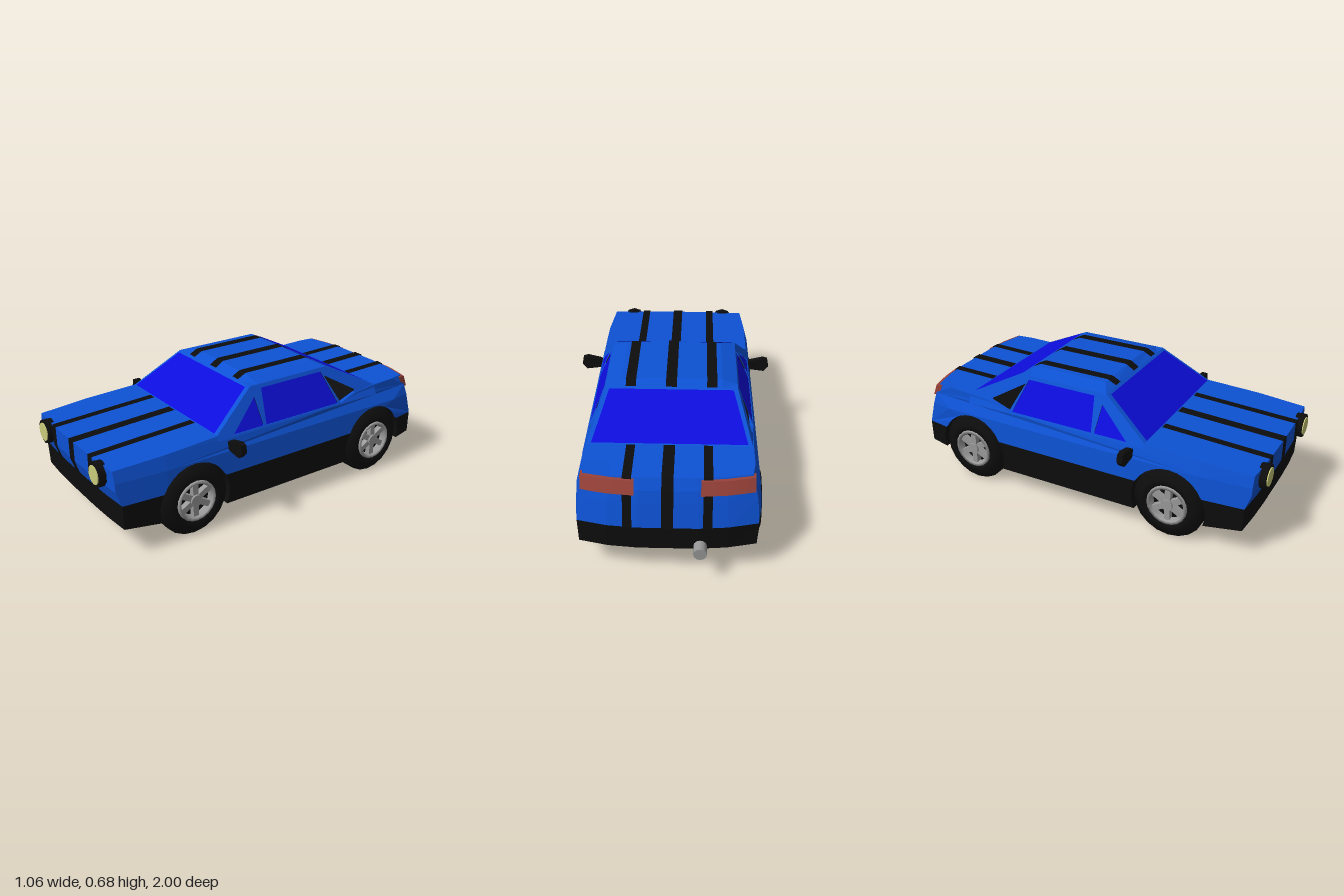
import * as THREE from 'three';

const mat = (name, color, side = THREE.FrontSide) => {
  const m = new THREE.MeshStandardMaterial({ color, side });
  m.name = name;
  return m;
};

// Piecewise-linear lookup in a short table of [key, value]
function interp(table, v) {
  for (let i = 1; i < table.length; i++) {
    const [a, fa] = table[i - 1], [b, fb] = table[i];
    if (v <= b || i === table.length - 1) {
      const t = Math.min(1, Math.max(0, (v - a) / (b - a)));
      return fa + (fb - fa) * t;
    }
  }
}

// Body half-width by height, plan taper by z, and bowed ends
const halfWidth = (y) => interp([[0.11, 0.43], [0.275, 0.437], [0.39, 0.427], [0.455, 0.41], [0.505, 0.395]], y);
const taper = (z) => interp([[-0.94, 0.95], [-0.75, 1], [0.7, 1], [0.97, 0.95]], z);
function bow(x, z) {
  const a = Math.abs(x);
  const d = 0.1 * Math.max(0, a - 0.145) + 0.15 * Math.max(0, a - 0.285);
  return z < -0.8 ? d : z > 0.9 ? -0.3 * d : 0;
}

// Wheel arch points around wheel centre zc, between two angles
const R = 0.195, WY = 0.187, A0 = 0.468;
function arch(zc, a, b) {
  return Array.from({ length: 11 }, (_, i) => {
    const t = a + (b - a) * i / 10;
    return [zc + R * Math.cos(t), WY + R * Math.sin(t)];
  });
}

const toShape = (pts) => new THREE.Shape(pts.map(([z, y]) => new THREE.Vector2(-z, y)));

// Side profile [z, y] extruded across the car and warped to the body plan
function bodySlice(pts) {
  const g = new THREE.ExtrudeGeometry(toShape(pts), { depth: 2, steps: 6, bevelEnabled: false });
  const p = g.attributes.position;
  for (let i = 0; i < p.count; i++) {
    const z = -p.getX(i), y = p.getY(i), s = p.getZ(i) - 1;
    const x = s * halfWidth(y) * taper(z);
    p.setXYZ(i, x, y, z + bow(x, z));
  }
  g.computeVertexNormals();
  return g;
}

// Grid of points joined row by row, with flat faces
function loft(rows) {
  const v = [];
  for (let i = 0; i + 1 < rows.length; i++) {
    for (let j = 0; j + 1 < rows[i].length; j++) {
      const a = rows[i][j], b = rows[i][j + 1], c = rows[i + 1][j + 1], d = rows[i + 1][j];
      v.push(...a, ...b, ...c, ...a, ...c, ...d);
    }
  }
  const g = new THREE.BufferGeometry();
  g.setAttribute('position', new THREE.Float32BufferAttribute(v, 3));
  g.computeVertexNormals();
  return g;
}
// Symmetric strip across the car from rows of [halfWidth, y, z]
const across = (rows) => loft(rows.map(([w, y, z]) => [[-w, y, z], [w, y, z]]));

// Flat shape on the inward-leaning cabin side
function cabinSide(pts, holes, s, inset = 0) {
  const shape = toShape(pts);
  for (const h of holes) shape.holes.push(toShape(h));
  const g = new THREE.ShapeGeometry(shape);
  const p = g.attributes.position;
  for (let i = 0; i < p.count; i++) {
    const y = p.getY(i);
    p.setXYZ(i, s * (0.412 - 0.45 * (y - 0.455) - inset), y, -p.getX(i));
  }
  g.computeVertexNormals();
  return g;
}

export function createModel() {
  const car = new THREE.Group();
  car.name = 'car';
  const blue = mat('body blue', 0x0d52d4, THREE.DoubleSide);
  const glass = mat('window blue', 0x0d0ddc, THREE.DoubleSide);
  const black = mat('black', 0x0d0d0d, THREE.DoubleSide);
  const grey = mat('metal grey', 0x999999);
  const yellow = mat('headlight yellow', 0xcccc7c);
  const red = mat('tail light red', 0x984239);
  const add = (name, geo, m, parent = car) => {
    const mesh = new THREE.Mesh(geo, m);
    mesh.name = name;
    parent.add(mesh);
    return mesh;
  };
  const FZ = 0.55, BZ = -0.6, PI = Math.PI;

  // Blue body: lower band with arch cut-outs, then shoulders, bonnet and boot
  add('lowerBody', bodySlice([[0.945, 0.275], [0.97, 0.35], [0.97, 0.39], [0.7, 0.39], [-0.75, 0.39], [-0.912, 0.39],
    [-0.94, 0.275], ...arch(BZ, PI - A0, A0), ...arch(FZ, PI - A0, A0)]), blue);
  add('upperBody', bodySlice([[0.97, 0.39], [0.97, 0.449], [0.7, 0.462], [0.41, 0.475], [0.36, 0.455], [-0.37, 0.455],
    [-0.48, 0.486], [-0.61, 0.5], [-0.75, 0.503], [-0.87, 0.505], [-0.895, 0.45], [-0.912, 0.39], [-0.75, 0.39], [0.7, 0.39]]), blue);

  // Black bumpers, sills and underbody
  add('frontBumper', bodySlice([[0.945, 0.275], [0.94, 0.15], [0.735, 0.125], ...arch(FZ, -0.324, A0)]), black);
  add('sills', bodySlice([...arch(FZ, PI - A0, PI + 0.406), ...arch(BZ, -0.406, A0)]), black);
  add('rearBumper', bodySlice([[-0.94, 0.275], [-0.94, 0.157], ...arch(BZ, PI + 0.2, PI - A0)]), black);
  add('underbody', new THREE.BoxGeometry(0.5, 0.265, 1.58).translate(0, 0.2475, -0.025), black);

  // Cabin floor and rear shelf
  add('cabinFloor', across([[0.39, 0.458, 0.36], [0.39, 0.458, -0.37], [0.38, 0.489, -0.48], [0.37, 0.503, -0.6]]), black);

  // Cabin sides: front quarter pane, door pane and open rear quarter
  const quarter = [[0.315, 0.46], [0.15, 0.597], [0.135, 0.46]];
  const door = [[0.118, 0.46], [0.098, 0.628], [-0.285, 0.628], [-0.35, 0.46]];
  const rearOpening = [[-0.3, 0.607], [-0.48, 0.503], [-0.475, 0.489], [-0.37, 0.457]];
  for (const s of [1, -1]) {
    const side = s > 0 ? 'left' : 'right';
    add(side + 'CabinSide', cabinSide([[0.41, 0.45], [0.41, 0.474], [0.16, 0.647], [-0.325, 0.647], [-0.62, 0.5], [-0.62, 0.45]],
      [quarter, door, rearOpening], s), blue);
    add(side + 'QuarterWindow', cabinSide(quarter, [], s, 0.004), glass);
    add(side + 'DoorWindow', cabinSide(door, [], s, 0.004), glass);
  }

  // Windscreen and rear window on their frames
  add('windscreenFrame', across([[0.405, 0.472, 0.412], [0.326, 0.647, 0.16]]), blue);
  add('windscreen', across([[0.382, 0.481, 0.41], [0.308, 0.642, 0.177]]), glass);
  add('rearWindowFrame', across([[0.393, 0.499, -0.615], [0.326, 0.647, -0.325]]), blue);
  add('rearWindow', across([[0.37, 0.508, -0.608], [0.305, 0.645, -0.338]]), glass);

  // Crowned roof
  const crown = (x) => interp([[0, 0.028], [0.25, 0.022], [0.326, 0]], Math.abs(x));
  const roofStations = [[0.16, 0], [0.115, 1], [-0.28, 1], [-0.325, 0]];
  add('roof', loft(roofStations.map(([z, k]) =>
    [-0.326, -0.25, 0, 0.25, 0.326].map((x) => [x, 0.647 + crown(x) * k, z]))), blue);

  // Racing stripes over nose, bonnet, roof, boot and tail
  const stripe = (name, x, w, path) => add(name, loft(path.map(([z, y]) =>
    [x - w, x + w].map((px) => [px, y, z + bow(px, z)]))), black);
  for (const k of [-1, 0, 1]) {
    const w = k ? 0.021 : 0.027, xr = k * 0.2;
    stripe('bonnetStripe', k * 0.198, w, [[0.95, 0.275], [0.975, 0.35], [0.975, 0.454], [0.415, 0.479]]);
    stripe('roofStripe', xr, k ? 0.025 : w, roofStations.map(([z, c]) => [z, 0.652 + crown(xr) * c]));
    stripe('bootStripe', k * 0.182, w, [[-0.615, 0.505], [-0.873, 0.51], [-0.9, 0.45], [-0.917, 0.39], [-0.945, 0.275]]);
  }

  // Headlights, tail lights and door mirrors
  const disc = (r, d, x, y, z, n = 10) => new THREE.CylinderGeometry(r, r, d, n).rotateX(PI / 2).translate(x, y, z);
  for (const s of [1, -1]) {
    add('headlightRim', disc(0.062, 0.045, s * 0.28, 0.397, 0.9725), black);
    add('headlightLens', disc(0.047, 0.01, s * 0.28, 0.397, 0.995, 16), yellow);

    const lamp = new THREE.BoxGeometry(0.245, 0.062, 0.035, 4, 1, 1).translate(s * 0.2725, 0.467, 0);
    const p = lamp.attributes.position;
    for (let i = 0; i < p.count; i++) {
      const x = p.getX(i), y = p.getY(i);
      p.setZ(i, p.getZ(i) - 0.884 - 0.4 * (0.467 - y) + bow(x, -0.9));
    }
    lamp.computeVertexNormals();
    add('tailLight', lamp, red);

    const outline = [[0.395, 0.42], [0.425, 0.445], [0.5, 0.463], [0.525, 0.455], [0.532, 0.415], [0.505, 0.385], [0.43, 0.395]];
    const shape = new THREE.Shape(outline.map(([x, y]) => new THREE.Vector2(s * x, y)));
    add('doorMirror', new THREE.ExtrudeGeometry(shape, { depth: 0.03, bevelEnabled: false }).translate(0, 0, 0.325), black);
  }

  // Exhaust pipe
  add('exhaustPipe', disc(0.022, 0.08, -0.15, 0.175, -0.92, 12), grey);
  add('exhaustTip', disc(0.031, 0.06, -0.15, 0.175, -0.97, 12), grey);

  // Wheels, built with the axle along x and the outer face towards +x
  const ring = (pts, n = 20) =>
    new THREE.LatheGeometry(pts.map(([r, h]) => new THREE.Vector2(r, h)), n).rotateZ(-PI / 2);
  const tyre = ring([[0.1, -0.07], [0.11, -0.095], [0.14, -0.095], [0.188, -0.065], [0.188, 0.065], [0.14, 0.095], [0.11, 0.095], [0.1, 0.07]]);
  const rim = ring([[0.106, 0.06], [0.106, 0.097], [0.09, 0.097], [0.084, 0.06]]);
  const axial = (r, d, x, n = 20) => new THREE.CylinderGeometry(r, r, d, n).rotateZ(-PI / 2).translate(x, 0, 0);
  const well = new THREE.CylinderGeometry(0.193, 0.193, 0.175, 20, 1, true, 0, PI).rotateZ(PI / 2);
  for (const s of [1, -1]) {
    for (const z of [FZ, BZ]) {
      add('wheelArch', well, black).position.set(s * 0.3375, WY, z);
      const wheel = new THREE.Group();
      wheel.name = 'wheel';
      wheel.position.set(s * 0.345, 0.188, z);
      if (s < 0) wheel.rotation.y = PI;
      add('tyre', tyre, black, wheel);
      add('rim', rim, grey, wheel);
      add('rimBack', axial(0.102, 0.02, 0.045), black, wheel);
      add('innerRim', axial(0.102, 0.02, -0.075), grey, wheel);
      add('hub', axial(0.03, 0.05, 0.07, 12), grey, wheel);
      for (let i = 0; i < 6; i++) {
        const spoke = new THREE.BoxGeometry(0.03, 0.075, 0.03).translate(0.07, 0.056, 0).rotateX(i * PI / 3);
        add('spoke', spoke, grey, wheel);
      }
      car.add(wheel);
    }
  }
  return car;
}
